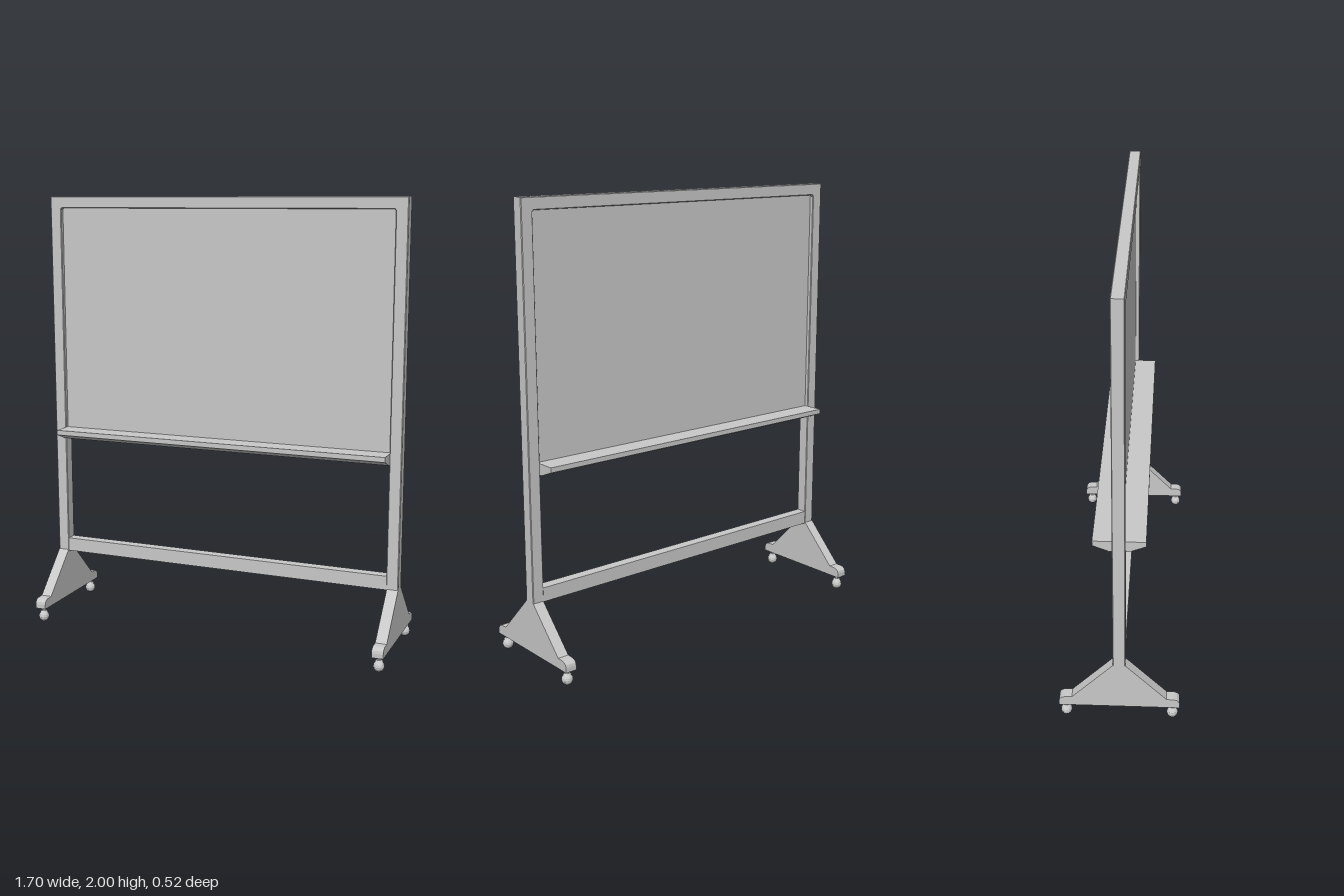
import * as THREE from 'three';

const grey = new THREE.MeshStandardMaterial({ color: 0xc8c8c8, flatShading: true });

function add(parent, name, geometry, x = 0, y = 0, z = 0) {
  const mesh = new THREE.Mesh(geometry, grey);
  mesh.name = name;
  mesh.position.set(x, y, z);
  parent.add(mesh);
  return mesh;
}

// Extrude a (z, y) profile along x, centred on x = 0
function alongX(points, width) {
  const shape = new THREE.Shape(points.map(([z, y]) => new THREE.Vector2(-z, y)));
  const g = new THREE.ExtrudeGeometry(shape, { depth: width, bevelEnabled: false });
  g.translate(0, 0, -width / 2);
  g.rotateY(Math.PI / 2);
  return g;
}

// Mirror a half profile, listed from top to bottom, to the other side of z = 0
function mirrored(half) {
  return [...half, ...half.slice().reverse().map(([z, y]) => [-z, y])];
}

// Frame outline, centred at the origin, extruded through z with an opening
function rectPath(path, x, y0, y1, r) {
  path.moveTo(-x + r, y0);
  path.lineTo(x - r, y0);
  path.quadraticCurveTo(x, y0, x, y0 + r);
  path.lineTo(x, y1 - r);
  path.quadraticCurveTo(x, y1, x - r, y1);
  path.lineTo(-x + r, y1);
  path.quadraticCurveTo(-x, y1, -x, y1 - r);
  path.lineTo(-x, y0 + r);
  path.quadraticCurveTo(-x, y0, -x + r, y0);
  return path;
}

export function createModel() {
  const model = new THREE.Group();
  model.name = 'mobileBoard';

  // Upright frame: two posts and a top rail with a slightly eased outer edge
  const outline = new THREE.Shape();
  const e = 0.003;
  [[-0.848 + e, 0.295], [-0.797, 0.295], [-0.797, 1.942], [-0.789, 1.95], [0.789, 1.95], [0.797, 1.942],
    [0.797, 0.295], [0.848 - e, 0.295], [0.848 - e, 2 - e], [-0.848 + e, 2 - e]]
    .forEach(([x, y], i) => (i ? outline.lineTo(x, y) : outline.moveTo(x, y)));
  const frame = new THREE.ExtrudeGeometry(outline, {
    depth: 0.048, bevelEnabled: true, bevelThickness: e, bevelSize: e, bevelSegments: 1,
  });
  add(model, 'frame', frame, 0, 0, -0.024);

  // Lower rail
  add(model, 'lowerRail', new THREE.BoxGeometry(1.6, 0.063, 0.05), 0, 0.3275, 0);

  // Recessed writing panel
  const panel = new THREE.ExtrudeGeometry(rectPath(new THREE.Shape(), 0.8, 0.88, 1.955, 0.004), {
    depth: 0.016, bevelEnabled: false, curveSegments: 3,
  });
  add(model, 'panel', panel, 0, 0, -0.008);

  // Double-sided tray with sloping undersides
  add(model, 'tray', alongX(mirrored([[0.11, 0.91], [0.11, 0.888], [0.04, 0.86]]), 1.592));

  // Triangular feet with rounded toes
  const footProfile = mirrored([
    [0.027, 0.3], [0.205, 0.116], [0.238, 0.115], [0.25, 0.111], [0.259, 0.102], [0.262, 0.09], [0.262, 0.07],
  ]);
  for (const side of [-1, 1]) {
    const foot = new THREE.Group();
    foot.name = side > 0 ? 'leftFoot' : 'rightFoot';
    foot.position.x = side * 0.8225;
    model.add(foot);
    add(foot, 'footBody', alongX(footProfile, 0.051));

    // Ball casters
    for (const end of [-1, 1]) {
      const z = end * 0.231;
      add(foot, 'casterBall', new THREE.SphereGeometry(0.025, 12, 8), 0, 0.025, z);
      add(foot, 'casterCollar', new THREE.CylinderGeometry(0.012, 0.018, 0.008, 12), 0, 0.05, z);
      add(foot, 'casterStem', new THREE.CylinderGeometry(0.007, 0.007, 0.03, 10), 0, 0.06, z);
    }
  }
  return model;
}
